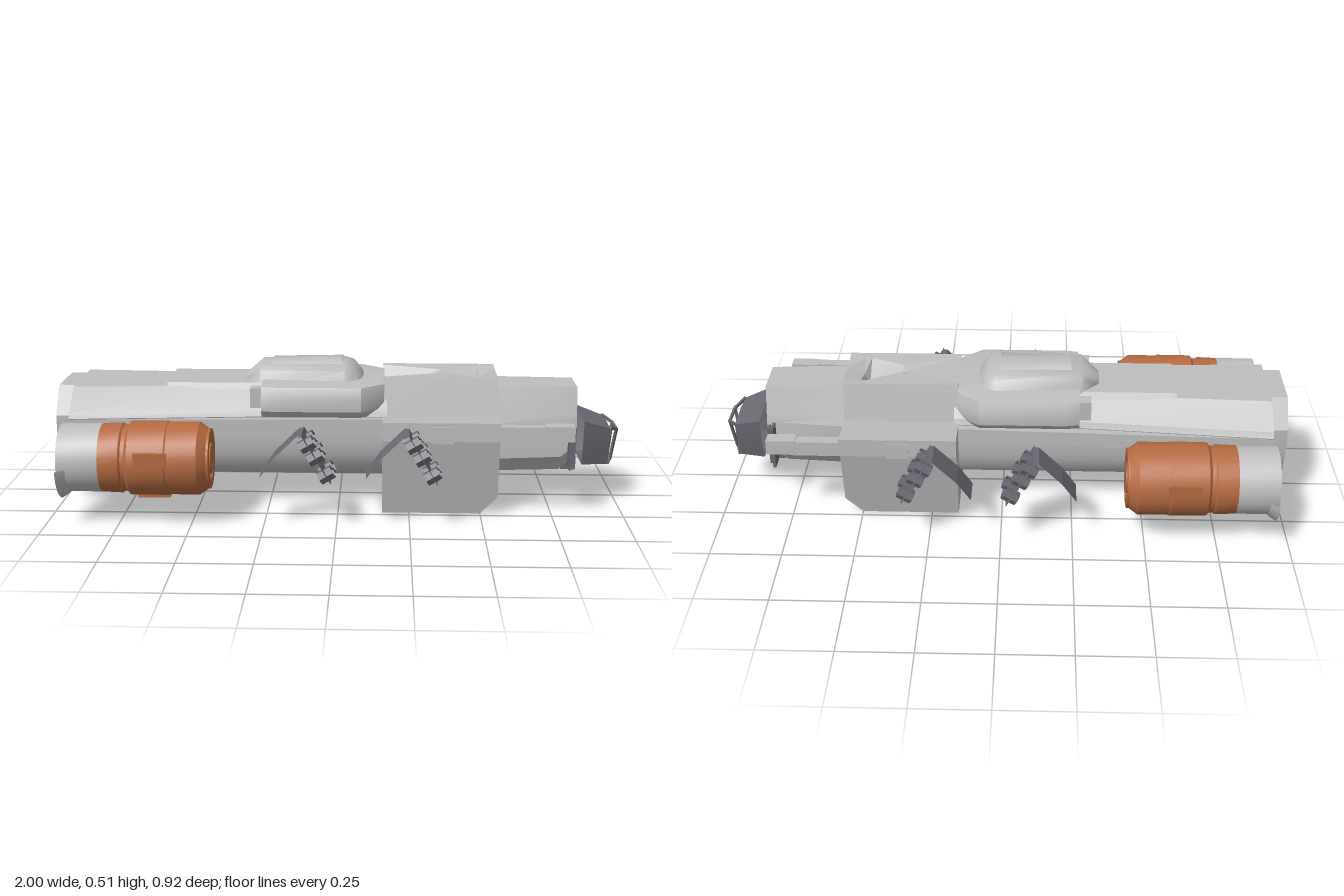
import * as THREE from 'three';
import { toCreasedNormals } from 'three/addons/utils/BufferGeometryUtils.js';

const mat = (name, color, side = THREE.FrontSide) => {
  const m = new THREE.MeshStandardMaterial({ color, side });
  m.name = name;
  return m;
};

// Loft along x through mirrored half sections, each [x, [[z, y], ...]] listed bottom to top
function loft(sections, caps = true, crease = 0.55) {
  const rings = sections.map(([x, half]) => {
    const right = half.map(([z, y]) => [x, y, z]);
    const left = right.filter((p) => p[2] > 0).reverse().map(([a, b, c]) => [a, b, -c]);
    return [...right, ...left];
  });
  const pos = [];
  const tri = (a, b, c) => pos.push(...a, ...b, ...c);
  for (let s = 0; s < rings.length - 1; s++) {
    const a = rings[s], b = rings[s + 1];
    for (let i = 0; i < a.length; i++) {
      const j = (i + 1) % a.length;
      tri(a[i], b[i], b[j]);
      tri(a[i], b[j], a[j]);
    }
  }
  if (caps) [[rings[0], true], [rings[rings.length - 1], false]].forEach(([r, back]) => {
    const flat = r.map((p) => new THREE.Vector2(p[2], p[1]));
    THREE.ShapeUtils.triangulateShape(flat, []).forEach(([i, j, k]) => {
      const area = flat[j].clone().sub(flat[i]).cross(flat[k].clone().sub(flat[i]));
      if ((area > 0) === back) tri(r[i], r[j], r[k]);
      else tri(r[i], r[k], r[j]);
    });
  });
  const g = new THREE.BufferGeometry();
  g.setAttribute('position', new THREE.Float32BufferAttribute(pos, 3));
  return toCreasedNormals(g, crease);
}

// Turned shape along x from [x, radius] points
function turned(points, seg = 28) {
  const g = new THREE.LatheGeometry(points.map(([x, r]) => new THREE.Vector2(r, x)), seg);
  return toCreasedNormals(g.rotateZ(-Math.PI / 2), 0.5);
}

export function createModel() {
  const grey = mat('hullGrey', 0xbebebe);
  const greySheet = mat('hullGreySheet', 0xbebebe, THREE.DoubleSide);
  const orange = mat('engineOrange', 0xb56b42);
  const dark = mat('darkMetal', 0x6a6a73, THREE.DoubleSide);

  const root = new THREE.Group();
  const add = (name, geo, m, parent = root) => {
    const mesh = new THREE.Mesh(geo, m);
    mesh.name = name;
    parent.add(mesh);
    return mesh;
  };
  const box = (name, x0, x1, y0, y1, z0, z1, m, parent = root) => {
    const b = add(name, new THREE.BoxGeometry(x1 - x0, y1 - y0, Math.abs(z1 - z0)), m, parent);
    b.position.set((x0 + x1) / 2, (y0 + y1) / 2, (z0 + z1) / 2);
    return b;
  };
  const bar = (name, a, b, w) => {
    const p = new THREE.Vector3(...a), q = new THREE.Vector3(...b);
    const m = add(name, new THREE.BoxGeometry(w, w, p.distanceTo(q) + w * 0.5), dark);
    m.position.copy(p).lerp(q, 0.5);
    m.lookAt(q);
  };

  // Rounded lower hull with a tapering deck overhanging it
  const lower = [[0, 0.1], [0.08, 0.1], [0.122, 0.118], [0.152, 0.155], [0.168, 0.2], [0.173, 0.25], [0.173, 0.32], [0, 0.32]];
  add('lowerHull', loft([[-0.94, lower], [0.17, lower]]), grey);
  const deck = (w) => [[0, 0.29], [w * 0.92, 0.29], [w, 0.335], [w * 0.95, 0.355], [w * 0.58, 0.428], [0, 0.43]];
  add('deck', loft([[-0.94, deck(0.238)], [-0.27, deck(0.182)], [0.17, deck(0.172)]], true, 0.3), grey);
  add('deckPanel', loft([-0.61, -0.26].map((x) => [x, [[0, 0.42], [0.125, 0.42], [0.11, 0.44], [0, 0.44]]])), grey);

  // Open rear nozzle with an inner ring
  const nozzle = (k) => [[0, 0.1], [0.08, 0.1], [0.122, 0.118], [0.152, 0.155], [0.17, 0.22], [0.17, 0.33], [0.1, 0.425], [0, 0.425]]
    .map(([z, y]) => [z * k, 0.263 + (y - 0.263) * k]);
  add('rearNozzle', loft([[-1, nozzle(1)], [-0.93, nozzle(1)]], false), greySheet);
  add('innerNozzle', loft([[-0.985, nozzle(0.75)], [-0.93, nozzle(0.68)]], false), greySheet);

  // Shoulder block and the blister on top of it
  const shoulder = (k) => [[0, 0.335], [0.19 * k, 0.335], [0.214 * k, 0.36], [0.216 * k, 0.405], [0.198 * k, 0.443],
    [0.14 * k, 0.452], [0, 0.452]];
  add('shoulderBlock', loft([[-0.27, shoulder(0.96)], [-0.22, shoulder(1)], [0.08, shoulder(1)], [0.16, shoulder(0.65)]]), grey);
  const blister = (w, h) => [[0, 0.42], [w * 1.25, 0.42], [w, h - 0.012], [w * 0.75, h], [0, h + 0.006]];
  add('blister', loft([[-0.34, blister(0.05, 0.445)], [-0.28, blister(0.095, 0.494)], [0.02, blister(0.118, 0.497)],
    [0.05, blister(0.108, 0.488)], [0.09, blister(0.09, 0.442)]], true, 0.8), grey);
  add('blisterCap', loft([[-0.24, [[0, 0.49], [0.06, 0.49], [0.04, 0.507], [0, 0.507]]],
    [0.01, [[0, 0.49], [0.07, 0.49], [0.05, 0.51], [0, 0.51]]]], true, 0.8), grey);

  // Deep middle block with a bow-tie notch on top and a chamfered belly
  const mid = (bottom, cy, cz) => [[0, bottom], [0.226 + bottom * 0.22, bottom], [0.289, 0.28], [0.305, 0.282],
    [0.305, 0.348], [0.15, 0.335], [0.117, 0.465], [cz, 0.463], [0, cy]];
  add('middleBlock', loft([[0.155, mid(0, 0.36, 0.1)], [0.36, mid(0, 0.45, 0.03)], [0.48, mid(0, 0.41, 0.085)],
    [0.5, mid(0, 0.44, 0.085)], [0.56, mid(0.065, 0.463, 0.08)]], true, 0.3), grey);

  // Nose with angled flanks
  const nose = (k, b) => [[0, b], [0.075 * k, b], [0.13 * k, b + 0.06], [0.13 * k, 0.3], [0.118 * k, 0.335],
    [0.088 * k, 0.425], [0, 0.425]];
  add('nose', loft([[0.55, nose(1.05, 0.115)], [0.79, nose(0.88, 0.118)], [0.845, nose(0.82, 0.16)]], true, 0.3), grey);
  box('chinIntake', 0.8, 0.85, 0.115, 0.14, -0.058, 0.058, dark);

  // Cockpit shell, open behind, with window bars across its front
  add('cockpitShell', loft([
    [0.868, [[0, 0.145], [0.098, 0.145], [0.118, 0.22], [0.128, 0.312], [0, 0.314]]],
    [0.965, [[0, 0.142], [0.074, 0.142], [0.09, 0.21], [0.098, 0.28], [0, 0.284]]],
  ], false, 0.2), dark);
  bar('windowTopBar', [0.995, 0.265, -0.048], [0.995, 0.265, 0.048], 0.009);
  bar('windowBottomBar', [0.98, 0.15, -0.03], [0.98, 0.15, 0.03], 0.009);

  for (const s of [1, -1]) {
    const side = s > 0 ? 'left' : 'right';
    bar(side + 'WindowPost', [0.98, 0.15, s * 0.03], [0.995, 0.265, s * 0.048], 0.009);
    bar(side + 'WindowUpperBar', [0.965, 0.28, s * 0.096], [0.995, 0.265, s * 0.048], 0.009);
    bar(side + 'WindowLowerBar', [0.965, 0.145, s * 0.072], [0.98, 0.15, s * 0.03], 0.009);

    // Side rails, booms and nose pads
    const rail = box(side + 'HullRail', -0.94, 0.16, 0.28, 0.332, s * 0.182, s * 0.216, grey);
    rail.rotation.y = s * 0.036;
    box(side + 'RailCoupling', 0.32, 0.4, 0.275, 0.335, s * 0.27, s * 0.308, grey);
    box(side + 'Boom', 0.55, 0.72, 0.282, 0.335, s * 0.265, s * 0.305, grey);
    box(side + 'BoomTip', 0.71, 0.812, 0.285, 0.338, s * 0.256, s * 0.306, grey);
    box(side + 'DeckPost', -0.31, -0.27, 0.365, 0.435, s * 0.13, s * 0.18, grey);
    for (let i = 0; i < 2; i++)
      box(side + 'NosePad', 0.815 + i * 0.016, 0.825 + i * 0.016, 0.142, 0.298 - i * 0.01, s * 0.104, s * (0.165 - i * 0.03), dark);

    // Engine pod
    const engine = new THREE.Group();
    engine.name = side + 'Engine';
    engine.position.set(0, 0.222, s * 0.322);
    root.add(engine);
    add('engineBody', turned([[-0.8, 0], [-0.805, 0.118], [-0.735, 0.121], [-0.728, 0.115], [-0.715, 0.115], [-0.705, 0.127],
      [-0.58, 0.128], [-0.575, 0.125], [-0.47, 0.126], [-0.44, 0.104], [-0.432, 0.104], [-0.432, 0.07],
      [-0.44, 0.066], [-0.44, 0.055], [-0.43, 0.052], [-0.43, 0]]), orange, engine);
    add('exhaustTube', turned([[-0.945, 0.118], [-0.8, 0.118]]), greySheet, engine);
    const guard = new THREE.CylinderGeometry(0.119, 0.14, 0.03, 12, 1, true, 0, 1.25);
    guard.rotateZ(-Math.PI / 2);
    const arc = add('exhaustGuard', guard, greySheet, engine);
    arc.position.x = -0.93;
    arc.rotation.x = s > 0 ? 0.1 : Math.PI / 2 + 0.15;
    box('outerBracket', -0.68, -0.57, 0.005, 0.05, s * 0.11, s * 0.132, orange, engine);
    box('lowerBracket', -0.685, -0.575, -0.136, -0.11, -0.025, 0.025, orange, engine);

    // Two launcher pods per side: a bent sheet pierced by six hexagonal tubes
    for (const x of [0, 0.36]) {
      const pod = new THREE.Group();
      pod.name = side + 'Launcher';
      pod.position.set(x, 0, s * 0.36);
      root.add(pod);
      const path = [[-0.26, 0.18], [-0.21, 0.25], [-0.13, 0.328], [-0.115, 0.33], [-0.018, 0.165]];
      for (let i = 0; i < path.length - 1; i++) {
        const [ax, ay] = path[i], [bx, by] = path[i + 1];
        const w = i === 3 ? 0.142 : 0.11;
        const sheet = new THREE.PlaneGeometry(Math.hypot(bx - ax, by - ay), w).rotateX(-Math.PI / 2);
        const plate = add('bentSheet', sheet, dark, pod);
        plate.position.set((ax + bx) / 2, (ay + by) / 2, 0);
        plate.rotation.z = Math.atan2(by - ay, bx - ax);
      }
      for (const [tx, ty] of [[-0.098, 0.294], [-0.07, 0.25], [-0.034, 0.188]]) for (const z of [-0.033, 0.033]) {
        const tube = new THREE.Group();
        tube.name = 'launchTube';
        tube.position.set(tx, ty, z);
        tube.rotation.z = -1.04;
        pod.add(tube);
        add('tubeWall', toCreasedNormals(new THREE.CylinderGeometry(0.024, 0.024, 0.052, 6, 1, true), 0.3), dark, tube);
        const floor = add('tubeFloor', new THREE.CircleGeometry(0.024, 6).rotateX(-Math.PI / 2), dark, tube);
        floor.position.y = -0.026;
      }
    }
  }
  return root;
}
